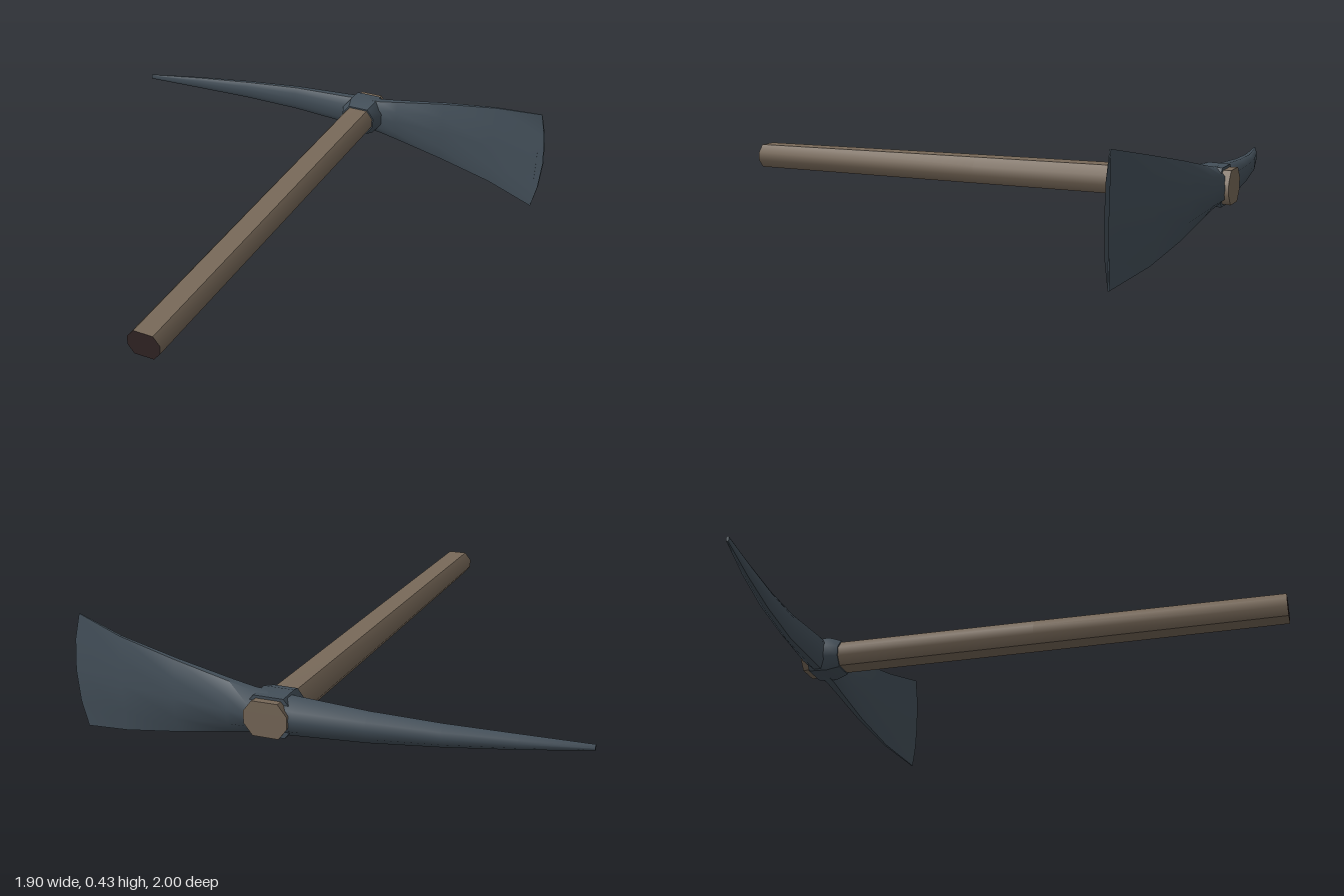
import * as THREE from 'three';
import { toCreasedNormals } from 'three/addons/utils/BufferGeometryUtils.js';

const CX = 0.105, CY = 0.222; // handle axis

// Skin a list of equal-sized rings, with optional flat ends
function loft(rings, startCap = true, endCap = true) {
  const pos = [], n = rings[0].length;
  const tri = (...pts) => pts.forEach((p) => pos.push(...p));
  for (let i = 0; i < rings.length - 1; i++) {
    const a = rings[i], b = rings[i + 1];
    for (let j = 0; j < n; j++) {
      const k = (j + 1) % n;
      tri(a[j], a[k], b[k]);
      tri(a[j], b[k], b[j]);
    }
  }
  const first = rings[0], last = rings[rings.length - 1];
  for (let j = 1; j < n - 1; j++) {
    if (startCap) tri(first[0], first[j + 1], first[j]);
    if (endCap) tri(last[0], last[j], last[j + 1]);
  }
  const geometry = new THREE.BufferGeometry();
  geometry.setAttribute('position', new THREE.Float32BufferAttribute(pos, 3));
  return toCreasedNormals(geometry, 0.85);
}

// Eight-sided ring around the handle axis
function handleRing(z, rx, ry) {
  const corners = [[1, 0.35], [0.6, 1], [-0.6, 1], [-1, 0.35], [-1, -0.35], [-0.6, -1], [0.6, -1], [1, -0.35]];
  return corners.map(([x, y]) => [CX + x * rx, CY + y * ry, z]);
}

// Head section: fractions of half height and of thickness (back to front)
const SECTION = [
  [1, 0.45], [1, 0.78], [0.55, 1], [0, 1], [-0.55, 1], [-1, 0.78],
  [-1, 0.45], [-0.55, 0.06], [0, 0], [0.55, 0.06],
];
function headRing([x, half, back, front, bulge = 0]) {
  return SECTION.map(([y, t]) => [
    x + bulge * (1 - y * y), CY + y * half, back + t * (front - back),
  ]);
}

export function createModel() {
  const steel = new THREE.MeshStandardMaterial({ color: 0x434f59 });
  steel.name = 'dark steel';
  const wood = new THREE.MeshStandardMaterial({ color: 0x786959 });
  wood.name = 'brown wood';
  const endWood = new THREE.MeshStandardMaterial({ color: 0x302424 });
  endWood.name = 'dark end wood';

  const group = new THREE.Group();
  group.name = 'pickaxe';
  const add = (name, geometry, material) => {
    const mesh = new THREE.Mesh(geometry, material);
    mesh.name = name;
    group.add(mesh);
  };

  // Curved head, pick point to blade: x, half height, back z, front z, edge bulge
  add('head', loft([
    [-0.952, 0.01, -0.832, -0.82],
    [-0.72, 0.025, -0.89, -0.855],
    [-0.48, 0.038, -0.938, -0.887],
    [-0.235, 0.052, -0.968, -0.907],
    [0.01, 0.064, -0.99, -0.895],
    [0.18, 0.075, -0.988, -0.892],
    [0.265, 0.091, -0.973, -0.895],
    [0.48, 0.133, -0.946, -0.892],
    [0.715, 0.177, -0.903, -0.872],
    [0.921, 0.217, -0.834, -0.82, 0.03],
  ].map(headRing)), steel);

  // Tapered socket in front of the head
  add('socket', loft([
    handleRing(-0.97, 0.092, 0.07),
    handleRing(-0.89, 0.092, 0.073),
    handleRing(-0.84, 0.073, 0.059),
  ]), steel);

  // Handle, flared where it passes through the head
  add('handle', loft([
    handleRing(-1, 0.079, 0.062),
    handleRing(-0.85, 0.068, 0.053),
    handleRing(0, 0.066, 0.051),
    handleRing(1, 0.063, 0.047),
  ], true, false), wood);

  // Dark face at the grip end
  add('handleEnd', loft([
    handleRing(0.998, 0.063, 0.047),
    handleRing(1, 0.063, 0.047),
  ]), endWood);

  return group;
}
